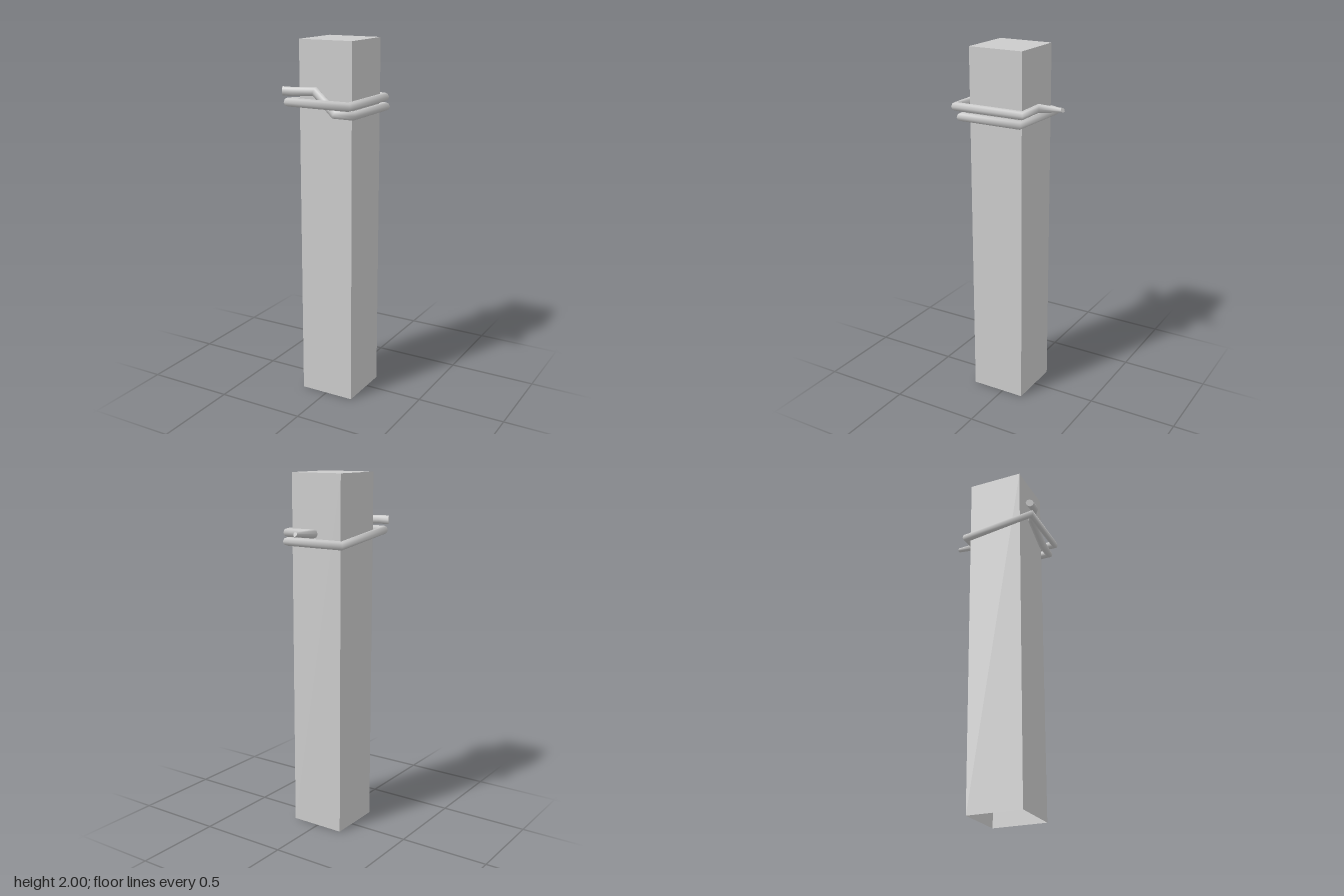
import * as THREE from 'three';

const material = new THREE.MeshStandardMaterial({ color: 0xcccccc, side: THREE.DoubleSide });
const SIDES = 8;

// Rope stations: centre, half-width vector (x, z) to the outer side, half-height vector
const stations = [
  { p: [-0.205, 1.737, 0.274], h: [0.01, 0.021] },
  { p: [-0.14, 1.737, 0.274], h: [0.01, 0.021] },
  { p: [-0.043, 1.737, 0.217], h: [0, 0.0235], u: [0.01, 0.023, 0] },
  { p: [0.085, 1.63, 0.231], h: [0, 0.023], u: [0.015, 0.023, 0] },
  { p: [0.19, 1.63, 0.226], h: [0.022, 0.017] },
  { p: [0.19, 1.63, -0.129], h: [0.022, -0.019] },
  { p: [-0.1725, 1.632, -0.144], h: [-0.0175, -0.016] },
  { p: [-0.177, 1.68, 0.269], h: [-0.014, 0.019] },
  { p: [0.184, 1.68, 0.268], h: [0.019, 0.014] },
  { p: [0.184, 1.68, -0.14], h: [0.019, -0.013] },
  { p: [0.011, 1.682, -0.14], h: [0.019, -0.013] },
  { p: [0.02, 1.692, -0.288], h: [0.0145, 0.003], u: [0, 0.012, 0.006] },
];

function ring({ p, h, u = [0, 0.024, 0] }) {
  return Array.from({ length: SIDES }, (_, j) => {
    const a = (j / SIDES) * Math.PI * 2;
    const c = Math.cos(a), s = Math.sin(a);
    return [p[0] + h[0] * c + u[0] * s, p[1] + u[1] * s, p[2] + h[1] * c + u[2] * s];
  });
}

function ropeGeometry() {
  const rings = stations.map(ring);
  const verts = rings.flat(), index = [];
  for (let i = 0; i < rings.length - 1; i++) {
    for (let j = 0; j < SIDES; j++) {
      const a = i * SIDES + j, b = i * SIDES + (j + 1) % SIDES;
      index.push(a, a + SIDES, b, b, a + SIDES, b + SIDES);
    }
  }
  // End caps with their own vertices for crisp edges
  for (const [r, flip] of [[rings[0], false], [rings[rings.length - 1], true]]) {
    const start = verts.length;
    verts.push(...r);
    for (let j = 1; j < SIDES - 1; j++) {
      index.push(start, start + (flip ? j + 1 : j), start + (flip ? j : j + 1));
    }
  }
  const geometry = new THREE.BufferGeometry();
  geometry.setAttribute('position', new THREE.Float32BufferAttribute(verts.flat(), 3));
  geometry.setIndex(index);
  geometry.computeVertexNormals();
  return geometry;
}

export function createModel() {
  const group = new THREE.Group();
  group.name = 'postWithRope';

  // Square post, open underneath
  const box = new THREE.BoxGeometry(0.315, 2, 0.315);
  const faces = Array.from(box.index.array);
  faces.splice(18, 6);
  box.setIndex(faces);
  box.clearGroups();
  const post = new THREE.Mesh(box, material);
  post.name = 'post';
  post.position.set(0.004, 1, 0.032);

  // Rope wound round the post, with both ends loose
  const rope = new THREE.Mesh(ropeGeometry(), material);
  rope.name = 'rope';

  group.add(post, rope);
  return group;
}
